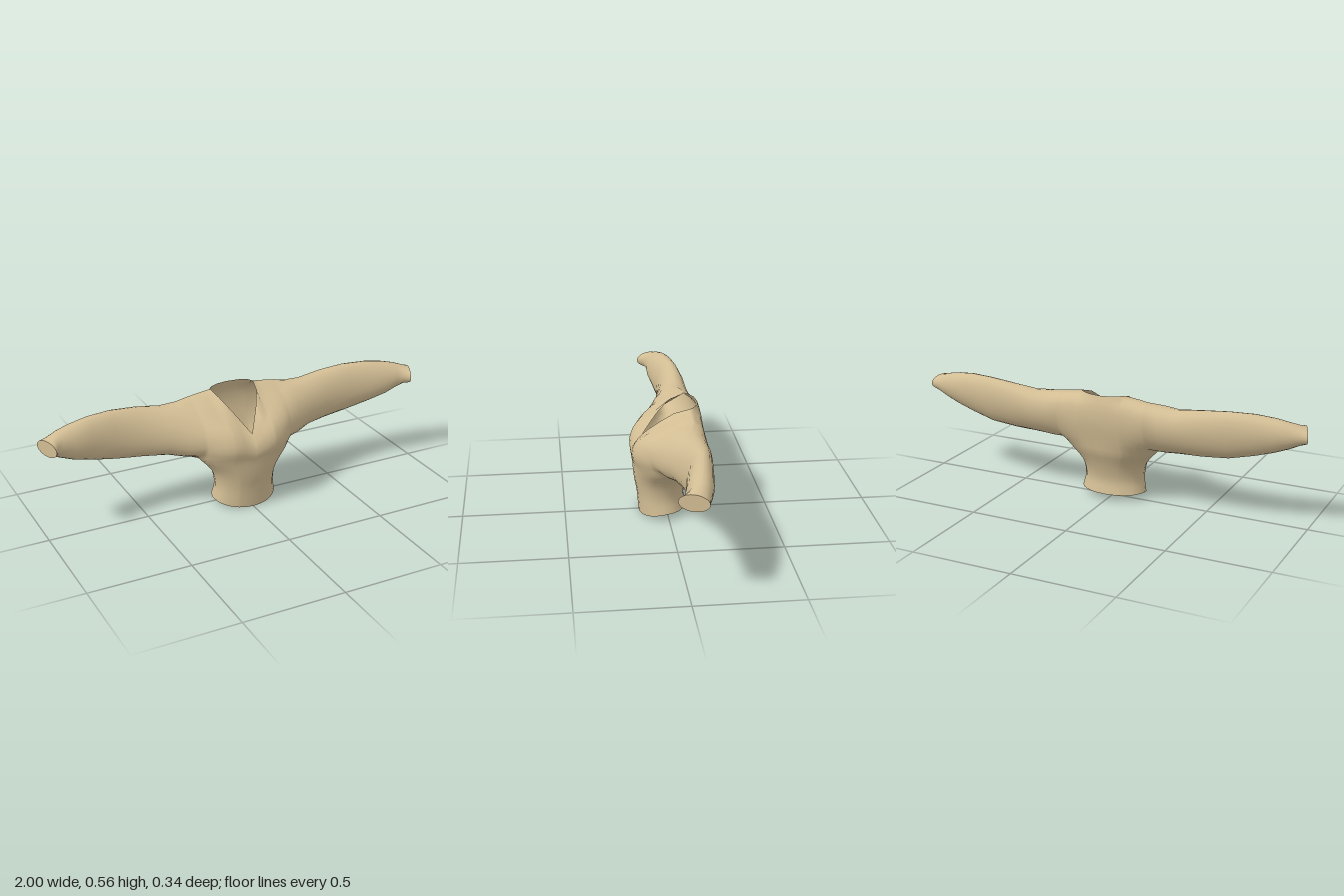
import * as THREE from 'three';
import { mergeVertices } from 'three/addons/utils/BufferGeometryUtils.js';

const V = (x, y, z) => new THREE.Vector3(x, y, z);
const ARMPIT = 0.235; // half width where the waist meets the sleeves
const UNDER = 0.26; // height of that join

// Torso sections: x, then [y, z] points from chest to neck or shoulder, front and back
const torso = [
  { x: 0, f: [[0.295, 0.17], [0.33, 0.165], [0.36, 0.145], [0.385, 0.12]], b: [[0.33, -0.153], [0.42, -0.17], [0.5, -0.168], [0.555, -0.152]] },
  { x: 0.06, f: [[0.32, 0.172], [0.38, 0.152], [0.43, 0.105], [0.475, 0.04]], b: [[0.33, -0.152], [0.42, -0.168], [0.5, -0.165], [0.556, -0.143]] },
  { x: 0.1, f: [[0.33, 0.17], [0.4, 0.142], [0.46, 0.062], [0.533, -0.03]], b: [[0.33, -0.148], [0.42, -0.166], [0.5, -0.161], [0.557, -0.12]] },
  { x: 0.115, f: [[0.33, 0.166], [0.41, 0.135], [0.47, 0.045], [0.555, -0.1]], b: [[0.33, -0.147], [0.42, -0.165], [0.51, -0.155], [0.555, -0.1]] },
  { x: 0.15, f: [[0.33, 0.152], [0.41, 0.123], [0.475, 0.037], [0.551, -0.1]], b: [[0.33, -0.142], [0.42, -0.163], [0.51, -0.152], [0.551, -0.1]] },
  { x: 0.19, f: [[0.33, 0.128], [0.41, 0.108], [0.48, 0.03], [0.546, -0.1]], b: [[0.33, -0.133], [0.42, -0.16], [0.5, -0.152], [0.546, -0.1]] },
  { x: 0.22, f: [[0.325, 0.1], [0.405, 0.092], [0.48, 0.022], [0.541, -0.1]], b: [[0.325, -0.122], [0.42, -0.158], [0.5, -0.15], [0.541, -0.1]] },
  { x: ARMPIT, f: [[0.32, 0.085], [0.4, 0.083], [0.48, 0.017], [0.539, -0.1]], b: [[0.32, -0.112], [0.42, -0.157], [0.5, -0.15], [0.539, -0.1]] },
];

// Sleeve sections: x, bottom, top, front z, back z, lean of the top, slant of the cut
const sleeve = [
  [0.3, 0.278, 0.525, 0.055, -0.155, 0.035, 0],
  [0.38, 0.293, 0.521, 0.02, -0.155, 0.025, 0],
  [0.5, 0.302, 0.538, -0.01, -0.15, 0.02, 0],
  [0.63, 0.315, 0.55, -0.022, -0.138, 0.015, 0],
  [0.75, 0.343, 0.549, -0.005, -0.125, 0.012, 0],
  [0.84, 0.37, 0.537, 0.01, -0.112, 0.01, 0.05],
  [0.9, 0.395, 0.523, 0.01, -0.095, 0.005, 0.15],
  [0.94, 0.415, 0.51, 0.025, -0.08, 0, 0.3],
  [0.974, 0.425, 0.502, 0.055, -0.073, 0, 0.4],
];

const smooth = (points, n) => new THREE.CatmullRomCurve3(points).getPoints(n);

// Upper column from underarm to shoulder, side = 1 for front, -1 for back
function torsoColumn(s, side) {
  const z = 0.012 + side * 0.153 * Math.sqrt(Math.max(0, 1 - (s.x / ARMPIT) ** 2));
  const pts = (side > 0 ? s.f : s.b).map(([y, pz]) => V(s.x, y, pz));
  return smooth([V(s.x, UNDER, z), ...pts], 12);
}

// Half of a flattened oval sleeve section
function sleeveColumn([x, yb, yt, zf, zb, lean, slant], side) {
  const zc = (zf + zb) / 2, rz = (zf - zb) / 2;
  return Array.from({ length: 13 }, (_, k) => {
    const a = (k / 12) * Math.PI, c = Math.cos(a);
    const z = zc + lean * c + side * rz * Math.sin(a);
    return V(x - slant * (z + 0.01), (yb + yt) / 2 - c * (yt - yb) / 2, z);
  });
}

// Waist column from the dipping hem up to the underarm join
function waistColumn(x, side) {
  const sin = x / ARMPIT, cos = side * Math.sqrt(Math.max(0, 1 - sin * sin));
  const hemZ = 0.02 + 0.116 * cos;
  const hemY = 0.035 - 0.035 * (Math.max(0, hemZ) / 0.136) ** 1.3;
  return smooth([
    V(0.165 * sin, hemY, hemZ),
    V(0.152 * sin, 0.1, 0.029 + 0.115 * cos),
    V(0.168 * sin, 0.18, 0.026 + 0.132 * cos),
    V(x, UNDER, 0.012 + 0.153 * cos),
  ], 10);
}

// Mirror half a row of columns to span both sides
const mirrored = (cols) => [
  ...cols.slice(1).reverse().map((c) => c.map((p) => V(-p.x, p.y, p.z))),
  ...cols,
];

// Stitch neighbouring columns into triangles
function stitch(out, cols, side) {
  const tri = (a, b, c) => (side > 0 ? out.push(a, b, c) : out.push(a, c, b));
  for (let i = 0; i + 1 < cols.length; i++) {
    for (let k = 0; k + 1 < cols[i].length; k++) {
      const a = cols[i][k], b = cols[i + 1][k], c = cols[i + 1][k + 1], d = cols[i][k + 1];
      tri(a, b, c);
      tri(a, c, d);
    }
  }
}

function geometryFrom(points) {
  const soup = new THREE.BufferGeometry().setFromPoints(points);
  const g = mergeVertices(soup, 1e-5);
  g.computeVertexNormals();
  return g;
}

export function createModel() {
  const group = new THREE.Group();
  group.name = 'croppedTop';
  const cloth = new THREE.MeshStandardMaterial({ color: 0xd2bd94, side: THREE.DoubleSide });
  cloth.name = 'tan cloth';

  const add = (name, points) => {
    const mesh = new THREE.Mesh(geometryFrom(points), cloth);
    mesh.name = name;
    group.add(mesh);
  };

  // Continuous shell: waist, chest, shoulders and sleeves, open at hem and neck
  const shell = [];
  for (const side of [1, -1]) {
    stitch(shell, mirrored(torso.map((s) => waistColumn(s.x, side))), side);
    stitch(shell, mirrored([
      ...torso.map((s) => torsoColumn(s, side)),
      ...sleeve.map((s) => sleeveColumn(s, side)),
    ]), side);
  }
  add('shell', shell);

  // Flat slanted ends of the sleeves
  const end = sleeve[sleeve.length - 1];
  const rim = [...sleeveColumn(end, 1), ...sleeveColumn(end, -1).reverse().slice(1)];
  for (const [name, m] of [['leftCuffEnd', 1], ['rightCuffEnd', -1]]) {
    const pts = rim.map((p) => V(p.x * m, p.y, p.z));
    const cap = [];
    for (let i = 1; i + 2 < pts.length; i++) {
      if (m > 0) cap.push(pts[0], pts[i + 1], pts[i]);
      else cap.push(pts[0], pts[i], pts[i + 1]);
    }
    // Rim runs bottom, front, top, back: reversed order faces inward on +x
    for (let i = 0; i < cap.length; i += 3) {
      const n = cap[i + 1].clone().sub(cap[i]).cross(cap[i + 2].clone().sub(cap[i]));
      if (n.x * m < 0) [cap[i + 1], cap[i + 2]] = [cap[i + 2], cap[i + 1]];
    }
    add(name, cap);
  }
  return group;
}
